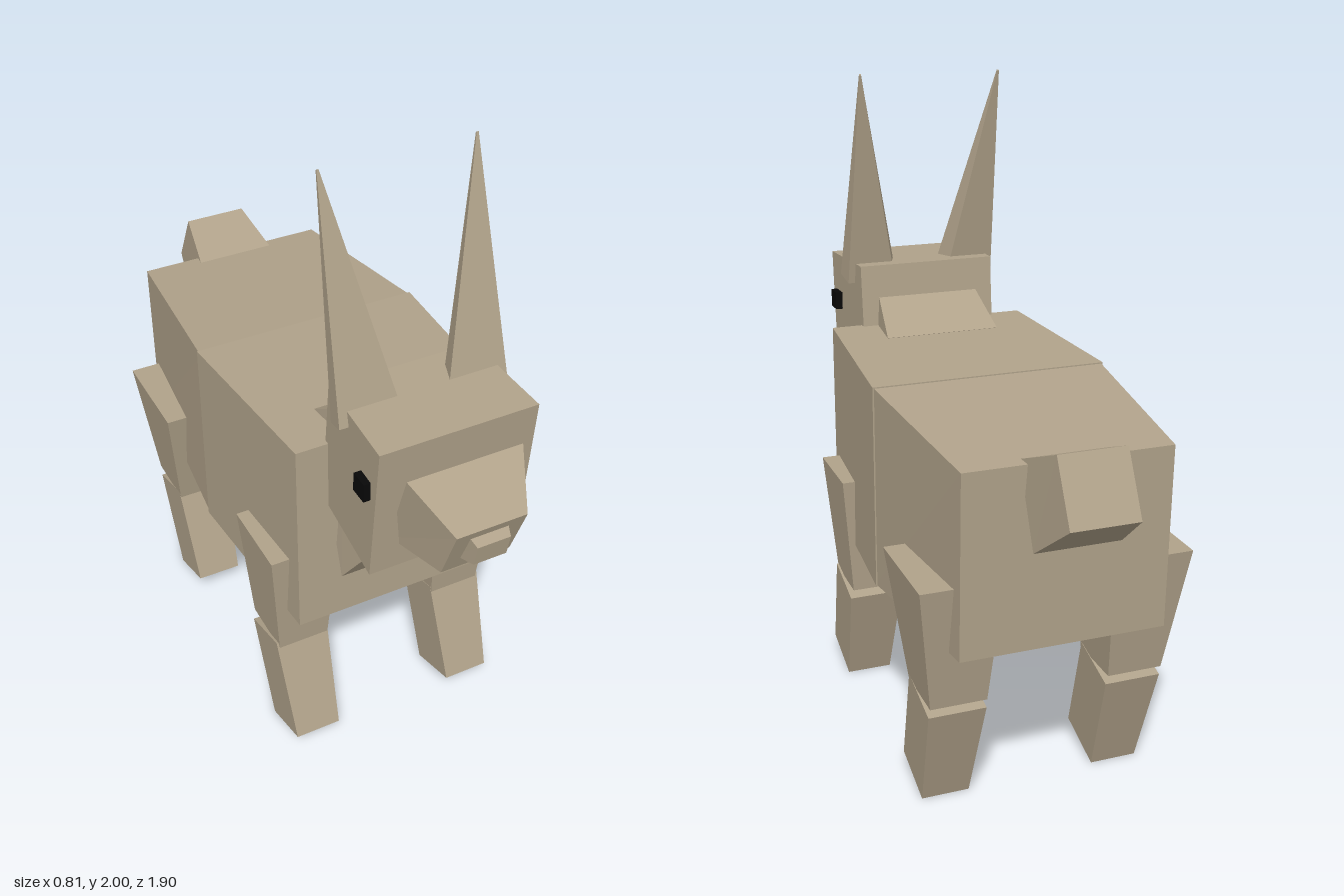
import * as THREE from 'three';

const fur = new THREE.MeshStandardMaterial({ color: 0xb0a28a });
fur.name = 'tan fur';
const black = new THREE.MeshStandardMaterial({ color: 0x080808 });
black.name = 'black eye';

// Six-sided block from a side profile of four corners [z, y, xMin, xMax]
function block(profile) {
  let area = 0;
  profile.forEach((p, i) => {
    const q = profile[(i + 1) % 4];
    area += p[0] * q[1] - q[0] * p[1];
  });
  const pts = area > 0 ? [...profile].reverse() : profile;
  const inner = pts.map(([z, y, a]) => [a, y, z]);
  const outer = pts.map(([z, y, , b]) => [b, y, z]);
  const pos = [];
  const quad = (a, b, c, d) => pos.push(...a, ...b, ...c, ...a, ...c, ...d);
  quad(...outer);
  quad(...[...inner].reverse());
  for (let i = 0; i < 4; i++) {
    const j = (i + 1) % 4;
    quad(outer[j], outer[i], inner[i], inner[j]);
  }
  const geo = new THREE.BufferGeometry();
  geo.setAttribute('position', new THREE.Float32BufferAttribute(pos, 3));
  geo.computeVertexNormals();
  return geo;
}

export function createModel() {
  const model = new THREE.Group();
  model.name = 'horned animal';

  const add = (name, profile, material = fur) => {
    const mesh = new THREE.Mesh(block(profile), material);
    mesh.name = name;
    model.add(mesh);
  };
  // Part on the centre line: corners are [z, y, halfWidth]
  const centre = (name, profile) => add(name, profile.map(([z, y, w]) => [z, y, -w, w]));
  // Part on both sides: corners are [z, y, xInner, xOuter]
  const pair = (name, profile, material) => {
    add('left' + name, profile, material);
    add('right' + name, profile.map(([z, y, a, b]) => [z, y, -b, -a]), material);
  };

  // Body
  centre('chest', [[0.456, 1.188, 0.325], [-0.14, 1.167, 0.367], [-0.13, 0.53, 0.367], [0.467, 0.538, 0.325]]);
  centre('hindBody', [[-0.12, 1.165, 0.364], [-0.727, 1.108, 0.307], [-0.711, 0.557, 0.307], [-0.12, 0.532, 0.364]]);
  centre('tail', [[-0.684, 1.109, 0.128], [-0.859, 1.178, 0.1], [-0.95, 1.003, 0.1], [-0.785, 0.88, 0.128]]);

  // Neck and head
  centre('neck', [[0.504, 0.72, 0.205], [0.66, 0.945, 0.172], [0.445, 1.279, 0.168], [0.292, 1.183, 0.187]]);
  centre('head', [[0.764, 1.374, 0.238], [0.456, 1.384, 0.225], [0.42, 0.974, 0.225], [0.727, 0.934, 0.238]]);
  centre('muzzle', [[0.796, 1.289, 0.175], [0.939, 1.183, 0.106], [0.875, 1.013, 0.106], [0.7, 1.02, 0.165]]);
  centre('nose', [[0.9, 1.172, 0.066], [0.953, 1.14, 0.05], [0.94, 1.072, 0.05], [0.87, 1.056, 0.066]]);

  // Eyes
  pair('Eye', [[0.72, 1.252, 0.22, 0.257], [0.663, 1.252, 0.22, 0.257],
    [0.663, 1.194, 0.22, 0.257], [0.72, 1.194, 0.22, 0.257]], black);

  // Tall pointed ears
  pair('Ear', [[0.584, 1.337, 0.07, 0.258], [0.52, 1.316, 0.09, 0.25],
    [0.396, 1.997, 0.224, 0.23], [0.4, 2, 0.224, 0.23]]);

  // Legs
  pair('FrontUpperLeg', [[0.41, 0.76, 0.165, 0.386], [0.159, 0.76, 0.165, 0.386],
    [0.19, 0.366, 0.188, 0.352], [0.377, 0.366, 0.188, 0.352]]);
  pair('RearUpperLeg', [[-0.35, 0.76, 0.165, 0.407], [-0.679, 0.76, 0.165, 0.407],
    [-0.61, 0.366, 0.188, 0.358], [-0.419, 0.366, 0.188, 0.358]]);
  for (const [name, dz] of [['FrontLowerLeg', 0], ['RearLowerLeg', -0.798]]) {
    pair(name, [[0.371 + dz, 0.385, 0.186, 0.36], [0.198 + dz, 0.334, 0.186, 0.36],
      [0.309 + dz, 0, 0.2, 0.346], [0.483 + dz, 0.058, 0.2, 0.346]]);
  }

  return model;
}
